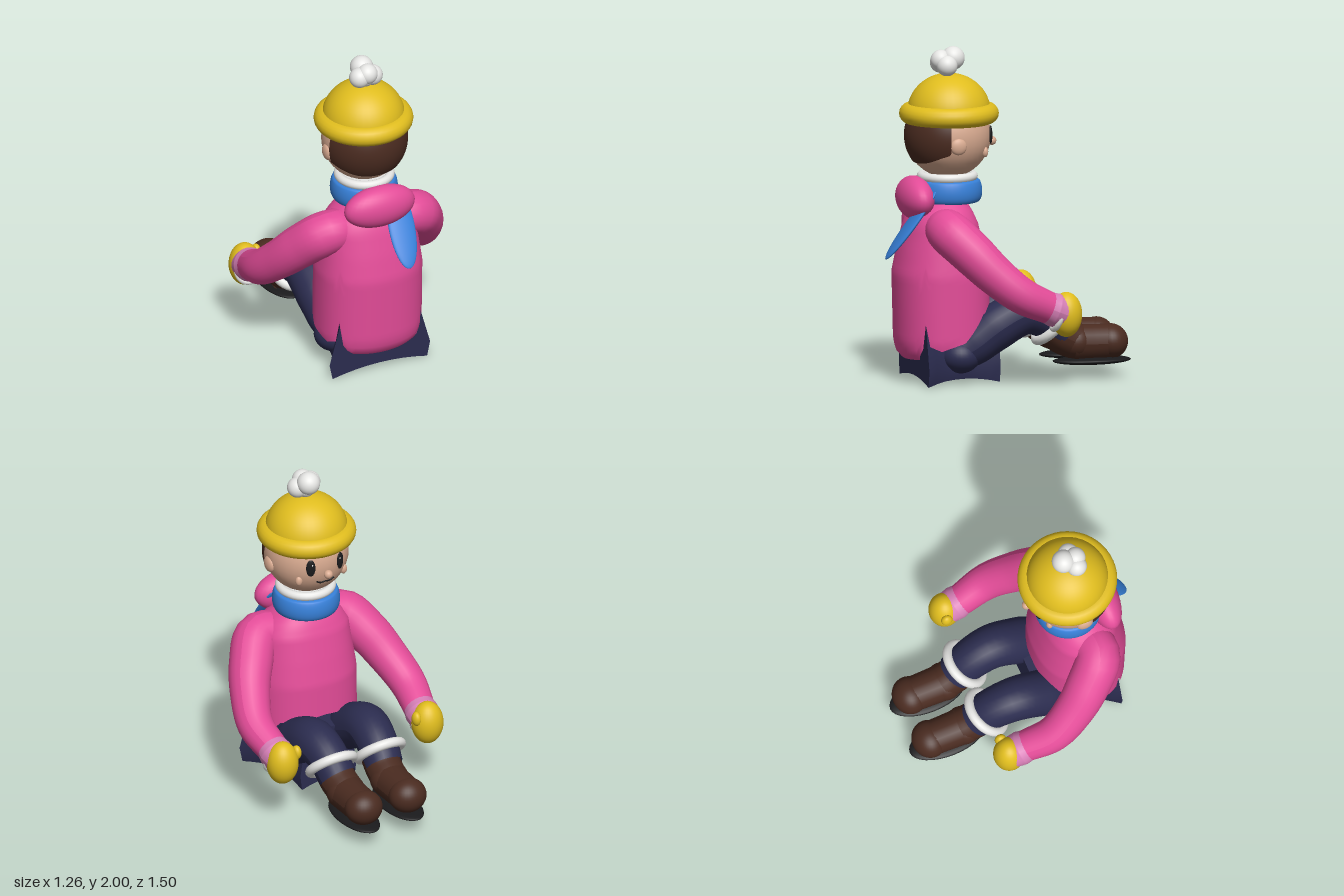
import * as THREE from 'three';

const V = (x, y, z) => new THREE.Vector3(x, y, z);
const paint = (name, color, side = THREE.FrontSide) => {
  const m = new THREE.MeshStandardMaterial({ color, side });
  m.name = name;
  return m;
};
// piecewise linear lookup in [[key, value...], ...]
const lookup = (table, k, col = 1) => {
  const last = table[table.length - 1];
  if (k <= table[0][0]) return table[0][col];
  for (let i = 1; i < table.length; i++) {
    const a = table[i - 1], b = table[i];
    if (k <= b[0]) return a[col] + (b[col] - a[col]) * (k - a[0]) / (b[0] - a[0]);
  }
  return last[col];
};

// tube along a curve with changing radius
function limb(points, radii) {
  const curve = new THREE.CatmullRomCurve3(points), n = 28, m = 24;
  const geo = new THREE.TubeGeometry(curve, n, 1, m);
  const pos = geo.attributes.position, v = new THREE.Vector3();
  const table = radii.map((r, i) => [i / (radii.length - 1), r]);
  for (let i = 0; i <= n; i++) {
    const c = curve.getPointAt(i / n), r = lookup(table, i / n);
    for (let j = 0; j <= m; j++) {
      const k = i * (m + 1) + j;
      v.fromBufferAttribute(pos, k).sub(c).multiplyScalar(r).add(c);
      pos.setXYZ(k, v.x, v.y, v.z);
    }
  }
  geo.computeVertexNormals();
  return geo;
}

// sweater body: oval rings rising from a hem whose height changes around the body
function torsoGeometry() {
  // height, half width, back z, front z
  const body = [[0.14, 0.27, 0.61, 0.14], [0.18, 0.31, 0.645, 0.12], [0.25, 0.325, 0.66, 0.1],
    [0.65, 0.325, 0.67, 0.11], [0.8, 0.305, 0.64, 0.14], [0.95, 0.285, 0.6, 0.175],
    [1.02, 0.24, 0.57, 0.205], [1.07, 0.18, 0.51, 0.235], [1.12, 0.12, 0.45, 0.26]];
  // degrees from the back, hem height (with a slit at 55)
  const hem = [[0, 0.14], [40, 0.15], [50, 0.22], [55, 0.37], [60, 0.24], [75, 0.21], [100, 0.26], [130, 0.42], [180, 0.45]];
  const n = 72, rows = 32, pos = [], idx = [];
  const round = (t) => Math.sign(t) * Math.pow(Math.abs(t), 0.88);
  for (let i = 0; i <= rows; i++) for (let j = 0; j < n; j++) {
    const deg = j * 360 / n, a = deg * Math.PI / 180;
    const low = lookup(hem, deg > 180 ? 360 - deg : deg);
    const y = low + (1.12 - low) * i / rows;
    const back = lookup(body, y, 2), front = lookup(body, y, 3);
    pos.push(lookup(body, y, 1) * round(Math.sin(a)), y, (back + front) / 2 + (back - front) / 2 * round(Math.cos(a)));
    if (i < rows) {
      const k = i * n + j, r = i * n + (j + 1) % n;
      idx.push(k, r, r + n, k, r + n, k + n);
    }
  }
  const geo = new THREE.BufferGeometry();
  geo.setAttribute('position', new THREE.Float32BufferAttribute(pos, 3));
  geo.setIndex(idx);
  geo.computeVertexNormals();
  return geo;
}

// trouser seat, wide at the back and narrow at the front, with a hollowed underside
function seatGeometry() {
  const geo = new THREE.BoxGeometry(2, 0.38, 0.48, 8, 4, 8), p = geo.attributes.position;
  for (let i = 0; i < p.count; i++) {
    const y = p.getY(i) + 0.19, z = p.getZ(i) + 0.31, x = p.getX(i);
    const w = lookup([[0, 0.315], [0.095, 0.335], [0.38, 0.255]], y);
    const narrow = lookup([[0.07, 0.57], [0.25, 0.6], [0.43, 0.76], [0.55, 1]], z);
    const lift = y < 0.01 ? 0.035 * (1 - x * x) + 0.03 * (1 - ((z - 0.31) / 0.24) ** 2) : 0;
    p.setXYZ(i, x * w * narrow, y + lift, z);
  }
  geo.computeVertexNormals();
  return geo;
}

// hair shell around the back of the head, cut higher towards the ears
function hairGeometry(radius) {
  const geo = new THREE.SphereGeometry(radius, 36, 14), p = geo.attributes.position, uv = geo.attributes.uv;
  for (let i = 0; i < p.count; i++) {
    const v = 1 - uv.getY(i), phi = 0.2 + uv.getX(i) * (Math.PI - 0.4);
    const theta = 1.2 + v * (1.01 - 0.3 * Math.cos(phi) ** 4);
    p.setXYZ(i, -radius * Math.cos(phi) * Math.sin(theta), radius * Math.cos(theta), radius * Math.sin(phi) * Math.sin(theta));
    geo.attributes.normal.setXYZ(i, p.getX(i) / radius, p.getY(i) / radius, p.getZ(i) / radius);
  }
  // the poles of the sphere become full rows, so every quad needs both triangles
  const idx = [];
  for (let r = 0; r < 14; r++) for (let c = 0; c < 36; c++) {
    const a = r * 37 + c, b = a + 37;
    idx.push(a, b, a + 1, b, b + 1, a + 1);
  }
  geo.setIndex(idx);
  return geo;
}

export function createModel() {
  const model = new THREE.Group();
  const pink = paint('sweaterPink', 0xe34c98, THREE.DoubleSide);
  const palePink = paint('cuffPink', 0xd67fb6, THREE.DoubleSide);
  const navy = paint('trouserNavy', 0x2b2c4f, THREE.DoubleSide);
  const yellow = paint('woolYellow', 0xe0bd1e);
  const white = paint('white', 0xe6e6e4);
  const skin = paint('skin', 0xd8aa90);
  const brown = paint('brown', 0x4a2b20, THREE.DoubleSide);
  const black = paint('black', 0x1a1a1c);
  const blue = paint('scarfBlue', 0x3780d8);

  const add = (name, geo, mat, p = [0, 0, 0], s = [1, 1, 1], r = [0, 0, 0]) => {
    const mesh = new THREE.Mesh(geo, mat);
    mesh.name = name;
    mesh.position.set(...p);
    mesh.scale.set(...s);
    mesh.rotation.set(...r);
    model.add(mesh);
    return mesh;
  };
  const ball = new THREE.SphereGeometry(1, 32, 20);
  const blob = (name, mat, p, s, r) => add(name, ball, mat, p, s, r);
  const flat = [Math.PI / 2, 0, 0];

  // body
  add('sweater', torsoGeometry(), pink);
  add('trouserSeat', seatGeometry(), navy);
  blob('hood', pink, [0, 1.1, 0.545], [0.23, 0.13, 0.104]);

  // head
  const R = 0.255, hy = 1.47, hz = 0.34;
  const onFace = (x, y, out = 0) => V(x, y, hz - Math.sqrt(R * R - x * x - (y - hy) ** 2) - out);
  blob('head', skin, [0, hy, hz], [R, R, R]);
  add('hair', hairGeometry(0.263), brown, [0, hy, hz]);
  blob('nose', skin, [0, 1.425, 0.07], [0.027, 0.027, 0.027]);
  add('mouth', new THREE.TubeGeometry(new THREE.CatmullRomCurve3(
    [[-0.06, 1.372], [-0.03, 1.357], [0, 1.362], [0.03, 1.357], [0.06, 1.372]].map(([x, y]) => onFace(x, y, 0.002))), 16, 0.005, 6), black);

  // hat
  add('hatDome', new THREE.SphereGeometry(1, 40, 16, 0, Math.PI * 2, 0, Math.PI / 2), yellow, [0, 1.61, 0.335], [0.248, 0.23, 0.248]);
  add('hatBrim', new THREE.TorusGeometry(0.237, 0.06, 18, 48), yellow, [0, 1.6, 0.335], [1, 1, 1], flat);
  for (const [x, y, z, r] of [[0, 1.93, 0.31, 0.07], [-0.047, 1.9, 0.375, 0.062], [0.047, 1.89, 0.36, 0.062],
    [0, 1.92, 0.385, 0.062], [0, 1.885, 0.35, 0.062]]) blob('pompom', white, [x, y, z], [r, r, r]);

  // collar and scarf
  add('collar', new THREE.TorusGeometry(0.155, 0.027, 14, 40), white, [0, 1.225, 0.345], [1, 1, 1], flat);
  add('neck', new THREE.CylinderGeometry(0.15, 0.15, 0.15, 32), white, [0, 1.165, 0.345]);
  const wrap = [[0.1, 1.08], [0.17, 1.07], [0.195, 1.09], [0.203, 1.135], [0.195, 1.185], [0.175, 1.205], [0.1, 1.205]];
  add('scarf', new THREE.LatheGeometry(new THREE.SplineCurve(wrap.map(([x, y]) => new THREE.Vector2(x, y))).getPoints(24), 40), blue, [0, 0, 0.34]);
  blob('scarfTail', blue, [0.118, 0.955, 0.604], [0.085, 0.255, 0.022], [-0.63, 0, -0.09]);

  for (const s of [1, -1]) {
    const side = s > 0 ? 'left' : 'right';
    // face details
    blob(side + 'Ear', skin, [s * 0.247, 1.43, 0.345], [0.025, 0.05, 0.05]);
    blob(side + 'Cheek', skin, onFace(s * 0.152, 1.38).toArray(), [0.022, 0.032, 0.02]);
    const eye = blob(side + 'Eye', black, onFace(s * 0.1, 1.475).toArray(), [0.028, 0.055, 0.01]);
    eye.lookAt(V(0, hy, hz));
    const glint = blob(side + 'EyeGlint', white, onFace(s * 0.094, 1.497, 0.008).toArray(), [0.006, 0.009, 0.003]);
    glint.lookAt(V(0, hy, hz));
    add(side + 'Eyebrow', new THREE.TubeGeometry(new THREE.CatmullRomCurve3(
      [onFace(s * 0.07, 1.545), onFace(s * 0.105, 1.558), onFace(s * 0.14, 1.545)]), 8, 0.007, 6), black);

    // arm
    add(side + 'Sleeve', limb([V(s * 0.14, 0.92, 0.4), V(s * 0.285, 0.925, 0.415), V(s * 0.4, 0.805, 0.3), V(s * 0.47, 0.685, 0.185),
      V(s * 0.52, 0.56, 0.03), V(s * 0.5, 0.475, -0.15)], [0.12, 0.135, 0.13, 0.118, 0.108, 0.095]), pink);
    add(side + 'Cuff', limb([V(s * 0.505, 0.49, -0.12), V(s * 0.5, 0.47, -0.165), V(s * 0.495, 0.445, -0.23)], [0.092, 0.103, 0.096]), palePink);
    add(side + 'CuffTrim', new THREE.TorusGeometry(0.075, 0.018, 10, 28), white, [s * 0.5, 0.422, -0.195], [1, 1, 1], [-0.35, 0, 0]);
    blob(side + 'Glove', yellow, [s * 0.495, 0.435, -0.25], [0.097, 0.135, 0.095]);
    blob(side + 'Thumb', yellow, [s * 0.41, 0.49, -0.27], [0.028, 0.045, 0.035]);

    // leg
    add(side + 'TrouserLeg', limb([V(s * 0.18, 0.16, 0.38), V(s * 0.18, 0.205, 0.27), V(s * 0.18, 0.34, 0.08), V(s * 0.18, 0.41, -0.08),
      V(s * 0.17, 0.375, -0.21), V(s * 0.158, 0.275, -0.325)], [0.09, 0.125, 0.14, 0.135, 0.125, 0.114]), navy);
    blob(side + 'Hip', navy, [s * 0.18, 0.165, 0.32], [0.13, 0.105, 0.125]);
    add(side + 'TrouserCuff', new THREE.TorusGeometry(0.135, 0.03, 14, 40), white, [s * 0.165, 0.335, -0.258], [1, 1, 1], [-Math.PI / 4, 0, 0]);

    // boot
    add(side + 'BootShaft', limb([V(s * 0.16, 0.31, -0.25), V(s * 0.155, 0.255, -0.33), V(s * 0.15, 0.225, -0.4)], [0.11, 0.112, 0.11]), brown);
    blob(side + 'BootAnkle', brown, [s * 0.15, 0.22, -0.4], [0.118, 0.105, 0.11]);
    add(side + 'BootFoot', limb([V(s * 0.15, 0.215, -0.38), V(s * 0.15, 0.213, -0.5), V(s * 0.15, 0.213, -0.62)], [0.112, 0.108, 0.105]), brown);
    blob(side + 'BootToe', brown, [s * 0.15, 0.215, -0.62], [0.116, 0.105, 0.105]);
    blob(side + 'Sole', black, [s * 0.15, 0.105, -0.505], [0.114, 0.026, 0.24]);
  }
  return model;
}
